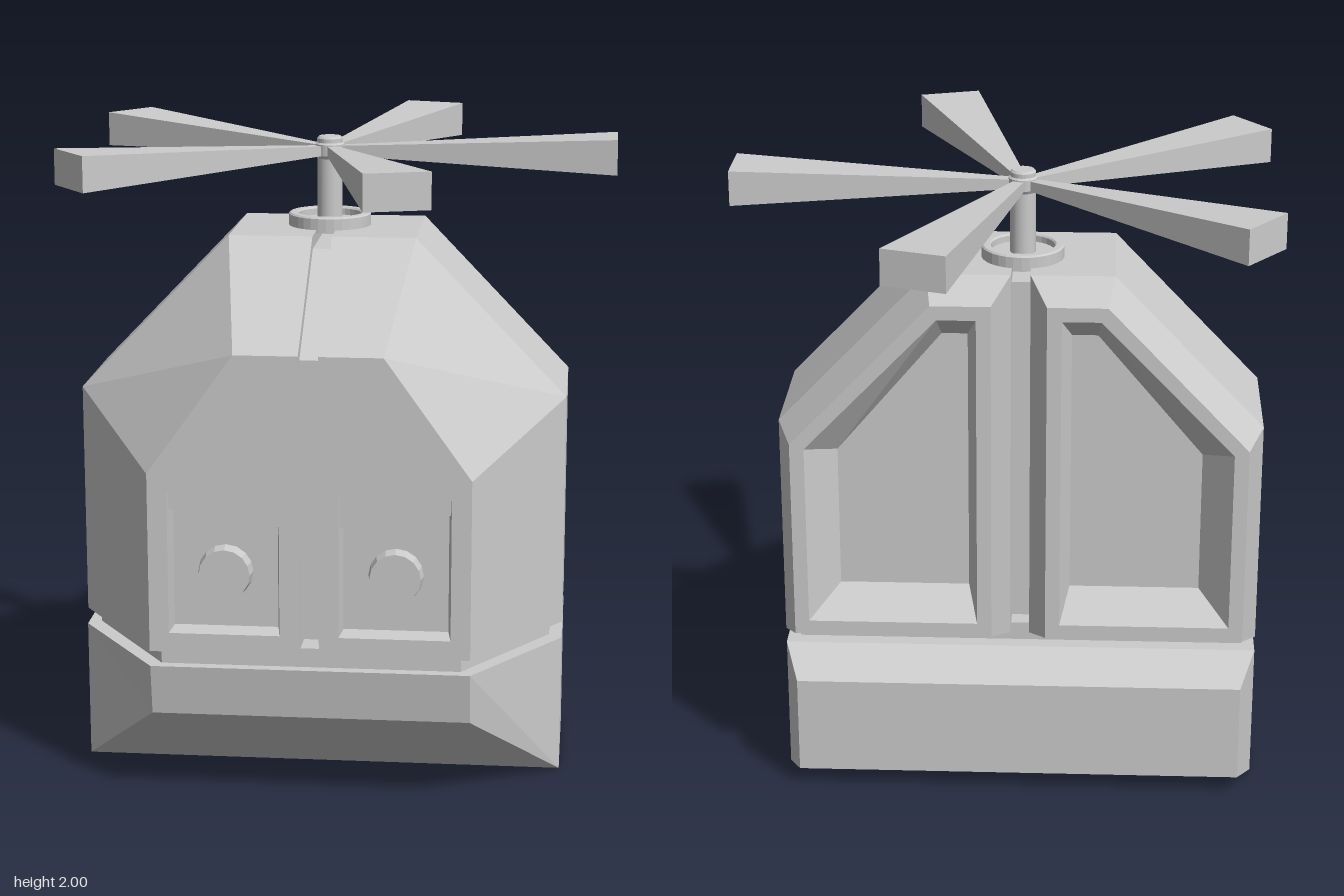
import * as THREE from 'three';

const grey = new THREE.MeshStandardMaterial({ color: 0xcccccc, flatShading: true });
const smooth = new THREE.MeshStandardMaterial({ color: 0xcccccc });

// Skin a list of rings (counter-clockwise seen from +z, ordered back to front) and cap both ends.
function loft(rings) {
  const pos = [];
  const tri = (...pts) => pts.forEach((p) => pos.push(...p));
  const n = rings[0].length;
  for (let i = 0; i < rings.length - 1; i++) {
    for (let j = 0; j < n; j++) {
      const k = (j + 1) % n;
      const [a, b, c, d] = [rings[i][j], rings[i][k], rings[i + 1][k], rings[i + 1][j]];
      tri(a, b, c);
      tri(a, c, d);
    }
  }
  const first = rings[0], last = rings[rings.length - 1];
  for (let j = 1; j < n - 1; j++) {
    tri(first[0], first[j + 1], first[j]);
    tri(last[0], last[j], last[j + 1]);
  }
  const g = new THREE.BufferGeometry();
  g.setAttribute('position', new THREE.Float32BufferAttribute(pos, 3));
  g.computeVertexNormals();
  return g;
}

const ring = (z, pts) => pts.map(([x, y]) => [x, y, z]);
const rect = (z, w, y0, y1) => ring(z, [[-w, y0], [w, y0], [w, y1], [-w, y1]]);

function add(parent, name, geometry, material = grey) {
  const m = new THREE.Mesh(geometry, material);
  m.name = name;
  parent.add(m);
  return m;
}

function extrude(pts, depth) {
  const shape = new THREE.Shape(pts.map(([x, y]) => new THREE.Vector2(x, y)));
  return new THREE.ExtrudeGeometry(shape, { depth, bevelEnabled: false });
}

// One side of the cabin: rear window recess, faceted shell, front lamp recess
function cabinHalf() {
  const half = new THREE.Group();
  const outline = [[0.03, 0.49], [0.76, 0.49], [0.76, 1.22], [0.29, 1.71], [0.03, 1.71]];
  add(half, 'cabinShell', loft([
    ring(-0.25, [[0.16, 0.69], [0.57, 0.69], [0.57, 1.15], [0.24, 1.54], [0.16, 1.54]]),
    ring(-0.345, [[0.13, 0.595], [0.665, 0.595], [0.665, 1.185], [0.25, 1.615], [0.13, 1.615]]),
    ring(-0.345, [[0.085, 0.55], [0.71, 0.55], [0.71, 1.2], [0.27, 1.66], [0.085, 1.66]]),
    ring(-0.19, outline),
    ring(0.24, outline),
    ring(0.65, [[0.03, 0.49], [0.49, 0.49], [0.49, 1.05], [0.225, 1.42], [0.03, 1.42]]),
    ring(0.65, [[0.09, 0.55], [0.43, 0.55], [0.43, 0.99], [0.2, 0.99], [0.09, 0.99]]),
    ring(0.59, [[0.1, 0.56], [0.42, 0.56], [0.42, 0.98], [0.2, 0.98], [0.1, 0.98]]),
  ]));

  // Slanted lid above the lamp
  add(half, 'lampLid', extrude([[0.09, 0.89], [0.43, 0.94], [0.43, 0.99], [0.09, 0.99]], 0.05))
    .position.z = 0.585;

  const lamp = add(half, 'lamp', new THREE.CylinderGeometry(0.078, 0.085, 0.05, 16));
  lamp.rotation.x = Math.PI / 2;
  lamp.position.set(0.26, 0.735, 0.61);
  return half;
}

export function createModel() {
  const model = new THREE.Group();
  model.name = 'helicopterPod';
  model.position.x = -0.06;

  // Mirrored cabin halves
  for (const [name, side] of [['leftCabin', 1], ['rightCabin', -1]]) {
    const half = cabinHalf();
    half.name = name;
    half.scale.x = side;
    model.add(half);
  }

  // Recessed spine filling the gap between the halves (profile in z, y)
  const spine = extrude([[-0.14, 0.53], [0.61, 0.53], [0.61, 1.4], [0.23, 1.67], [-0.14, 1.67]], 0.064);
  spine.translate(0, 0, -0.032).rotateY(-Math.PI / 2);
  add(model, 'spine', spine);

  // Narrow neck between cabin and base
  add(model, 'neck', loft([
    rect(-0.14, 0.72, 0.43, 0.5), rect(0.22, 0.72, 0.43, 0.5), rect(0.61, 0.46, 0.43, 0.5),
  ]));

  // Base with chamfered back and an undercut front
  add(model, 'base', loft([
    rect(-0.35, 0.71, 0.06, 0.38),
    rect(-0.19, 0.76, 0, 0.44),
    rect(0.25, 0.76, 0, 0.44),
    [[-0.49, 0.28, 0.62], [0.49, 0.28, 0.62], [0.49, 0.44, 0.645], [-0.49, 0.44, 0.645]],
  ]));

  // Rotor: collar, mast, hub and five flared blades
  const rotor = new THREE.Group();
  rotor.name = 'rotor';
  model.add(rotor);
  const lathe = (pts) => new THREE.LatheGeometry(pts.map(([r, y]) => new THREE.Vector2(r, y)), 32);
  add(rotor, 'collar', lathe([
    [0.13, 1.7], [0.13, 1.745], [0.125, 1.75], [0.105, 1.75], [0.1, 1.745], [0.1, 1.725], [0.03, 1.725],
  ]), grey);
  add(rotor, 'mast', new THREE.CylinderGeometry(0.04, 0.04, 0.25, 24), smooth).position.y = 1.825;
  add(rotor, 'hub', lathe([
    [0, 1.92], [0.04, 1.92], [0.046, 1.93], [0.046, 1.965], [0.04, 1.97], [0.04, 1.983], [0.034, 1.99], [0, 1.99],
  ]), grey);
  const blade = loft([rect(0.03, 0.016, 1.93, 1.96), rect(0.9, 0.1, 1.89, 2)]);
  for (let i = 0; i < 5; i++) {
    add(rotor, 'blade', blade).rotation.y = Math.PI / 2 + (i * Math.PI * 2) / 5;
  }
  return model;
}
